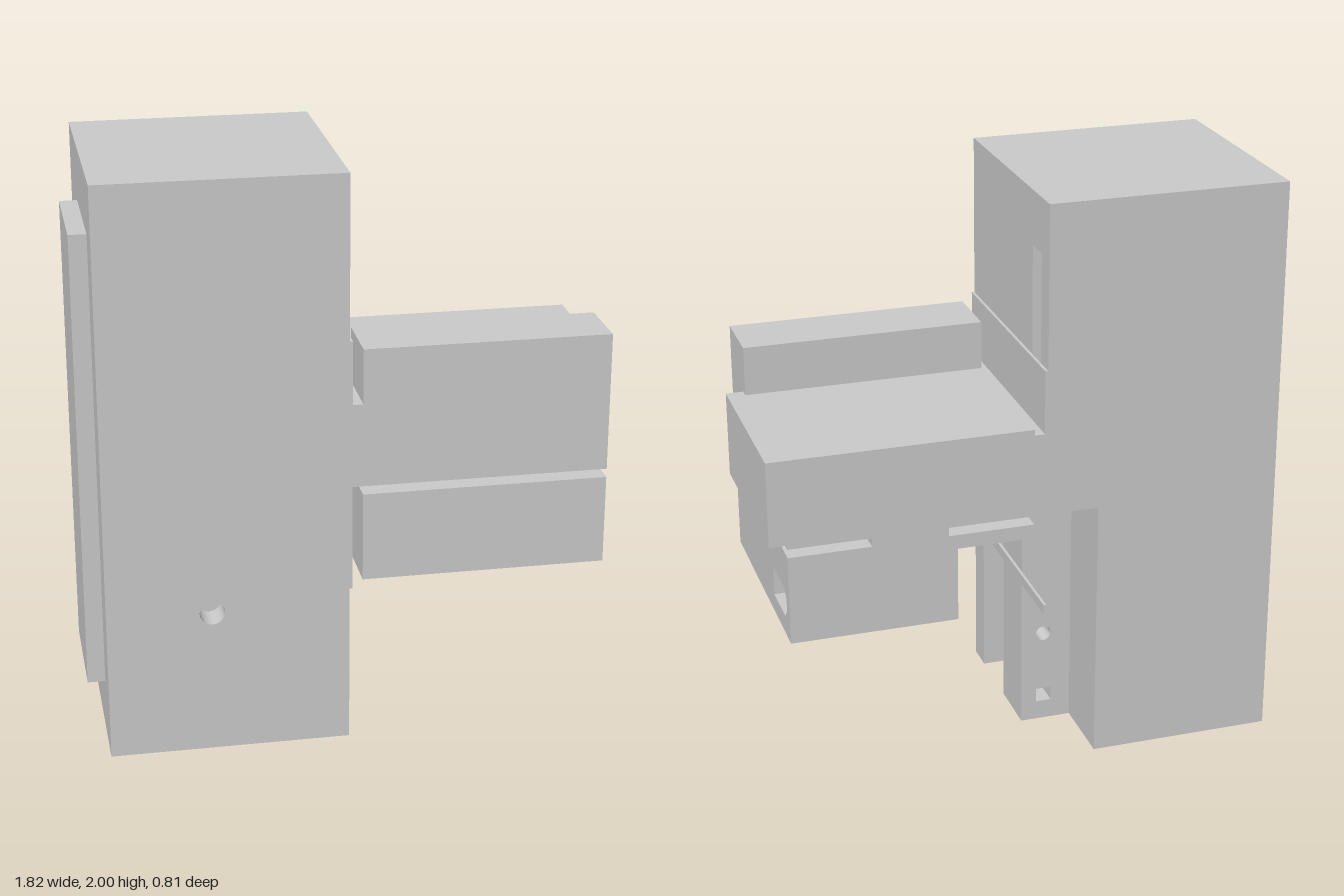
import * as THREE from 'three';

const grey = new THREE.MeshStandardMaterial({ color: 0xcccccc, flatShading: true });

export function createModel() {
  const model = new THREE.Group();

  function add(name, geometry) {
    const mesh = new THREE.Mesh(geometry, grey);
    mesh.name = name;
    model.add(mesh);
  }

  // Box given by its limits on each axis
  function box(name, x0, x1, y0, y1, z0, z1) {
    const g = new THREE.BoxGeometry(x1 - x0, y1 - y0, z1 - z0);
    g.translate((x0 + x1) / 2, (y0 + y1) / 2, (z0 + z1) / 2);
    add(name, g);
  }

  const points = (list) => list.map(([a, b]) => new THREE.Vector2(a, b));
  const rect = (a0, a1, b0, b1) => [[a0, b0], [a1, b0], [a1, b1], [a0, b1]];
  const circle = (cx, cy, r) => Array.from({ length: 24 }, (_, i) => {
    const t = (i / 24) * Math.PI * 2;
    return [cx + r * Math.cos(t), cy + r * Math.sin(t)];
  });

  // Pierced solid extruded along an axis; outline is (x,y) for z, (-z,y) for x, (x,-z) for y
  function pierced(name, axis, from, to, outline, holes) {
    const shape = new THREE.Shape(points(outline));
    shape.holes = holes.map((h) => new THREE.Path(points(h)));
    const g = new THREE.ExtrudeGeometry(shape, { depth: to - from, bevelEnabled: false });
    g.translate(0, 0, from);
    if (axis === 'x') g.rotateY(Math.PI / 2);
    if (axis === 'y') g.rotateX(-Math.PI / 2);
    add(name, g);
  }

  const D = 0.405; // half depth
  const J = 0.93; // underside of the arm and top of the lower recess

  // Column: front wall with round hole, core, and slotted upper skin
  pierced('columnFront', 'z', 0.305, D, rect(-0.85, -0.03, 0, 2), [circle(-0.495, 0.51, 0.043)]);
  box('columnLowerCore', -0.85, -0.21, 0, J, -D, 0.305);
  box('columnUpperCore', -0.85, -0.13, J, 2, -D, 0.305);
  pierced('columnUpperSkin', 'x', -0.13, -0.03, rect(-0.305, D, J, 2),
    [rect(0.24, 0.33, 1.4, 1.815)]);
  box('slotStep', -0.13, -0.08, 1.4, 1.815, -0.33, -0.28);
  box('sidePanel', -0.91, -0.85, 0.21, 1.8, -0.14, 0.255);

  // Recessed lower side of the column: shallow channel and drilled rib
  box('recessBack', -0.21, -0.13, 0, J, 0.07, 0.305);
  pierced('drilledRib', 'z', -0.14, 0.07, rect(-0.21, -0.03, 0, J),
    [circle(-0.11, 0.34, 0.027), rect(-0.14, -0.085, 0.07, 0.12)]);

  // Thin facing plate, open behind the lower block
  box('facingPlateUpper', -0.03, -0.02, J, 1.44, -D, D);
  box('facingPlateFront', -0.03, -0.02, 0.595, J, 0.215, D);
  box('facingPlateBar', -0.03, -0.02, 0.56, 0.595, -D, D);

  // Upper arm
  box('armJoint', -0.03, 0.015, J, 1.22, -D, D);
  box('armSlab', 0.015, 0.85, J, 1.24, -D, 0.18);
  box('armFrontRail', 0.015, 0.85, J, 1.41, 0.18, D);
  box('armEndPanel', 0.85, 0.91, 0.945, 1.24, -D, 0.215);

  // Lower block, hung below the arm, with its inner back corner cut away
  box('blockConnector', 0.31, 0.57, 0.9, J, -D, 0.305);
  box('blockLid', 0.015, 0.75, 0.85, 0.9, -D, D);
  pierced('blockBody', 'y', 0.59, 0.85,
    [[0.015, -D], [0.75, -D], [0.75, D], [0.28, D], [0.28, -0.2], [0.015, -0.2]],
    [rect(0.34, 0.54, 0.18, 0.27)]);
  pierced('blockEnd', 'x', 0.75, 0.85, rect(-D, D, 0.59, 0.9),
    [[[0.165, 0.655], [0.33, 0.655], [0.36, 0.685], [0.36, 0.73], [0.33, 0.76], [0.165, 0.76]]]);
  box('socketStep', 0.75, 0.8, 0.655, 0.76, -0.27, -0.165);

  return model;
}
